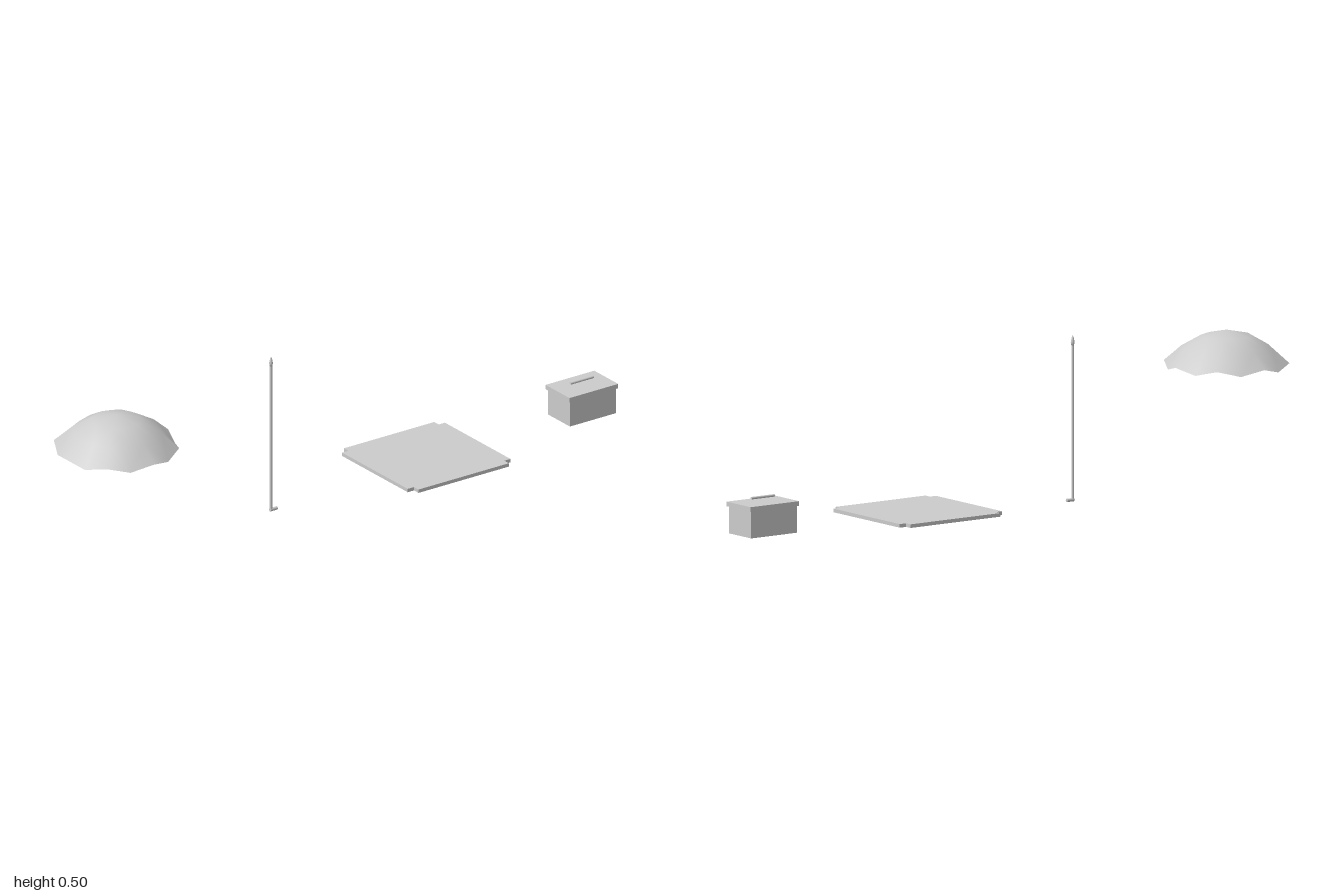
import * as THREE from 'three';
import { mergeVertices } from 'three/addons/utils/BufferGeometryUtils.js';

const grey = new THREE.MeshStandardMaterial({ color: 0xcccccc });
grey.name = 'light grey';
const greyDouble = grey;
greyDouble.side = THREE.DoubleSide;

function part(name, geometry, x, y, z = 0) {
  const mesh = new THREE.Mesh(geometry, grey);
  mesh.name = name;
  mesh.position.set(x, y, z);
  return mesh;
}

// Eight-ribbed canopy: rings from the rim to the crown, with drooping panels between ribs
function canopyGeometry() {
  const rings = [[0.19, 0.366], [0.137, 0.412], [0.077, 0.446], [0, 0.463]];
  const sides = 16;
  const point = (ring, i) => {
    const between = i % 2 === 1;
    const r = rings[ring][0] * (between ? 0.952 : 1);
    const y = rings[ring][1] - (between && ring === 0 ? 0.017 : 0);
    const a = (i / sides) * Math.PI * 2;
    return [r * Math.sin(a), y, r * Math.cos(a)];
  };
  const positions = [];
  for (let ring = 0; ring < 3; ring++) {
    for (let i = 0; i < sides; i++) {
      const j = (i + 1) % sides;
      const a = point(ring, i), b = point(ring, j);
      const c = point(ring + 1, j), d = point(ring + 1, i);
      // Split each quad from the rib so both halves of a panel mirror
      if (ring === 2) positions.push(...a, ...b, ...c);
      else if (i % 2 === 0) positions.push(...a, ...b, ...d, ...b, ...c, ...d);
      else positions.push(...a, ...b, ...c, ...a, ...c, ...d);
    }
  }
  let geometry = new THREE.BufferGeometry();
  geometry.setAttribute('position', new THREE.Float32BufferAttribute(positions, 3));
  geometry = mergeVertices(geometry, 1e-5);
  geometry.computeVertexNormals();
  return geometry;
}

// Square mat with a notch cut from each corner
function matGeometry() {
  const h = 0.19, n = 0.167;
  const corner = [[h, -n], [h, n], [n, n], [n, h], [-n, h], [-n, n], [-h, n], [-h, -n],
    [-n, -n], [-n, -h], [n, -h], [n, -n]];
  const shape = new THREE.Shape(corner.map(([x, y]) => new THREE.Vector2(x, y)));
  const geometry = new THREE.ExtrudeGeometry(shape, { depth: 0.011, bevelEnabled: false });
  return geometry.rotateX(-Math.PI / 2);
}

export function createModel() {
  const model = new THREE.Group();
  model.name = 'picnicSet';

  model.add(part('parasolCanopy', canopyGeometry(), -0.81, 0));

  // Pole with a pointed tip and a short foot to one side
  const pole = new THREE.Group();
  pole.name = 'parasolPole';
  const tip = [[0, 0.474], [0.004, 0.474], [0.006, 0.483], [0.003, 0.498], [0, 0.505]]
    .map(([r, y]) => new THREE.Vector2(r, y));
  pole.add(
    part('shaft', new THREE.CylinderGeometry(0.004, 0.004, 0.472, 12), 0, 0.241),
    part('tip', new THREE.LatheGeometry(tip, 12), 0, 0),
    part('foot', new THREE.CylinderGeometry(0.0052, 0.0052, 0.026, 12).rotateZ(Math.PI / 2), 0.009, 0.0052)
  );
  pole.position.x = -0.239;
  model.add(pole);

  model.add(part('mat', matGeometry(), 0.335, 0.022));

  // Lidded box with a thin grip bar above the lid
  const box = new THREE.Group();
  box.name = 'picnicBox';
  box.add(
    part('body', new THREE.BoxGeometry(0.17, 0.082, 0.112), 0, 0.063),
    part('lid', new THREE.BoxGeometry(0.18, 0.014, 0.122), 0, 0.111),
    part('grip', new THREE.CylinderGeometry(0.004, 0.004, 0.085, 12).rotateZ(Math.PI / 2), 0, 0.132)
  );
  box.position.x = 0.91;
  model.add(box);

  return model;
}
